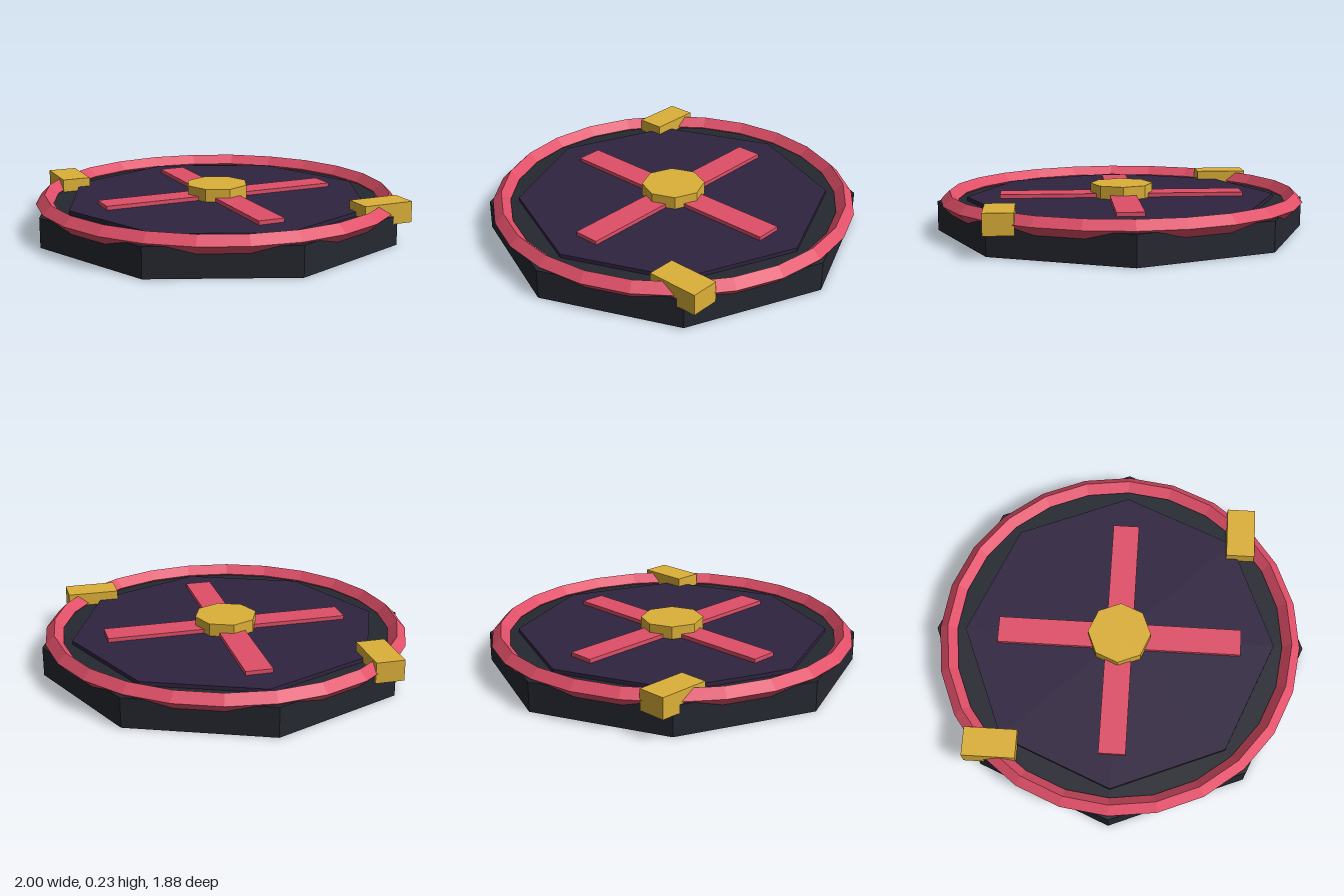
import * as THREE from 'three';

const material = (name, color) => {
  const m = new THREE.MeshStandardMaterial({ color, flatShading: true });
  m.name = name;
  return m;
};

export function createModel() {
  const group = new THREE.Group();
  const charcoal = material('charcoal', 0x262831);
  const plum = material('plum', 0x302440);
  const red = material('red', 0xe04f68);
  const gold = material('gold', 0xdcb038);

  const add = (name, geometry, mat, x, y, z, turn = 0) => {
    const mesh = new THREE.Mesh(geometry, mat);
    mesh.name = name;
    mesh.position.set(x, y, z);
    mesh.rotation.y = turn;
    group.add(mesh);
    return mesh;
  };
  // Octagonal disc between two heights
  const disc = (name, radius, bottom, top, mat) =>
    add(name, new THREE.CylinderGeometry(radius, radius, top - bottom, 8), mat, 0, (bottom + top) / 2, 0);

  disc('base', 0.94, 0, 0.15, charcoal);
  disc('topPanel', 0.79, 0.14, 0.17, plum);

  // Rim ring with a diamond cross-section
  const ring = new THREE.TorusGeometry(0.878, 0.045, 4, 24).rotateX(Math.PI / 2);
  add('rimRing', ring, red, 0, 0.16, 0);

  // Crossed bars and the hub over them
  for (const side of [1, -1]) {
    add('crossBar', new THREE.BoxGeometry(1.24, 0.03, 0.135), red, 0, 0.175, 0, side * Math.PI / 4);
  }
  disc('hub', 0.16, 0.16, 0.235, gold);

  // Clasps on the left and right of the rim, set at mirrored angles
  for (const side of [1, -1]) {
    add(side > 0 ? 'leftClasp' : 'rightClasp', new THREE.BoxGeometry(0.265, 0.105, 0.145),
      gold, side * 0.855, 0.1625, 0, side * Math.PI / 4);
  }
  return group;
}
